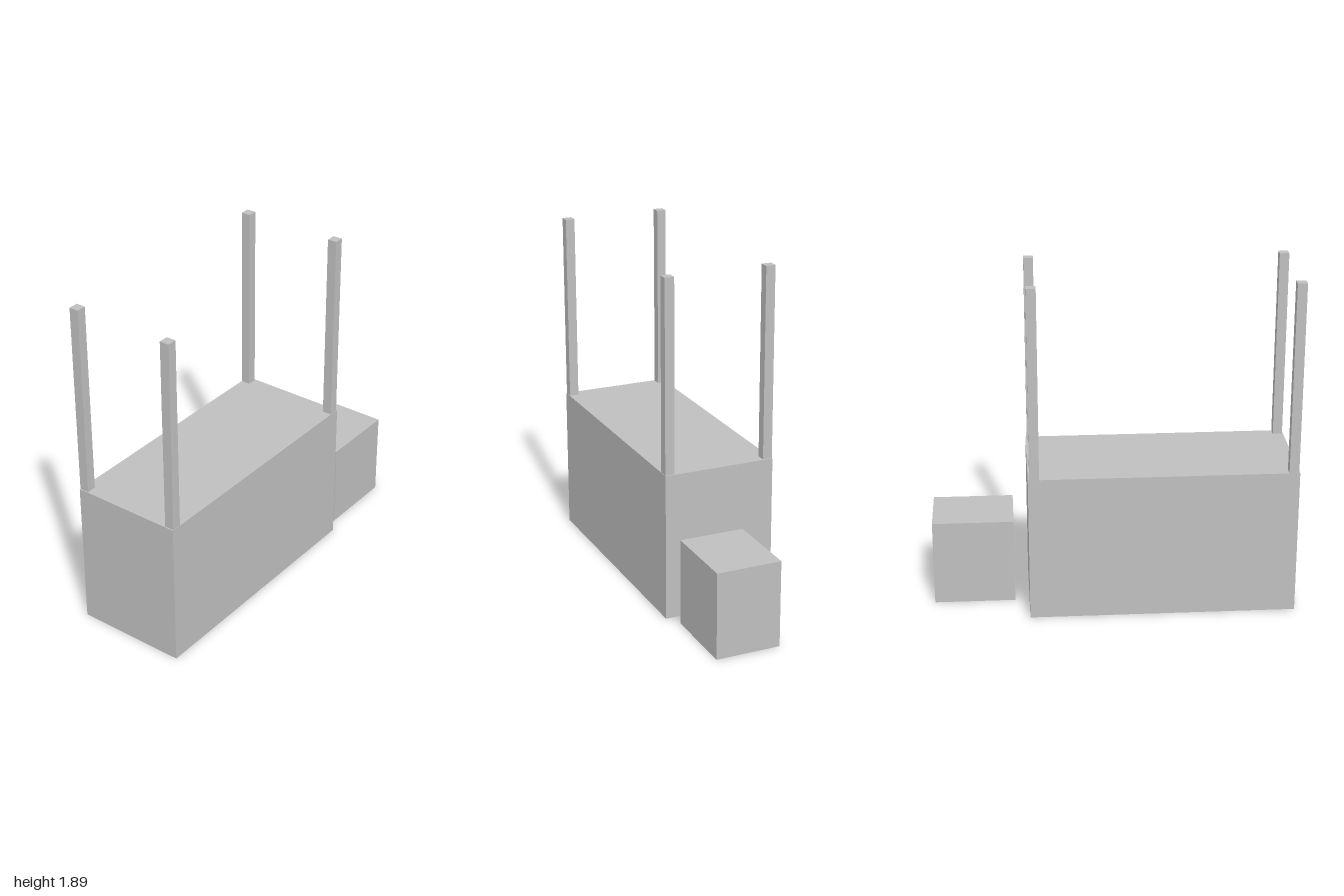
import * as THREE from 'three';

export function createModel() {
  const model = new THREE.Group();
  const grey = new THREE.MeshStandardMaterial({ color: 0xbfbfbf });
  grey.name = 'plain grey';

  // Box given by its lower and upper corners
  function addBox(name, [x0, y0, z0], [x1, y1, z1]) {
    const mesh = new THREE.Mesh(new THREE.BoxGeometry(x1 - x0, y1 - y0, z1 - z0), grey);
    mesh.position.set((x0 + x1) / 2, (y0 + y1) / 2, (z0 + z1) / 2);
    mesh.name = name;
    model.add(mesh);
  }

  // Long counter block
  const bodyTop = 0.825;
  addBox('counter', [-1, 0, -0.313], [0.47, bodyTop, 0.313]);

  // Four corner posts standing on the counter
  const postWidth = 0.053, postTop = 1.89;
  for (const [side, x] of [['right', -0.994], ['left', 0.409]]) {
    for (const [end, z] of [['Front', 0.258], ['Back', -0.313]]) {
      addBox(side + end + 'Post', [x, bodyTop, z], [x + postWidth, postTop, z + postWidth]);
    }
  }

  // Separate small crate beside the counter
  addBox('crate', [0.55, 0, -0.098], [1, 0.485, 0.265]);

  return model;
}
